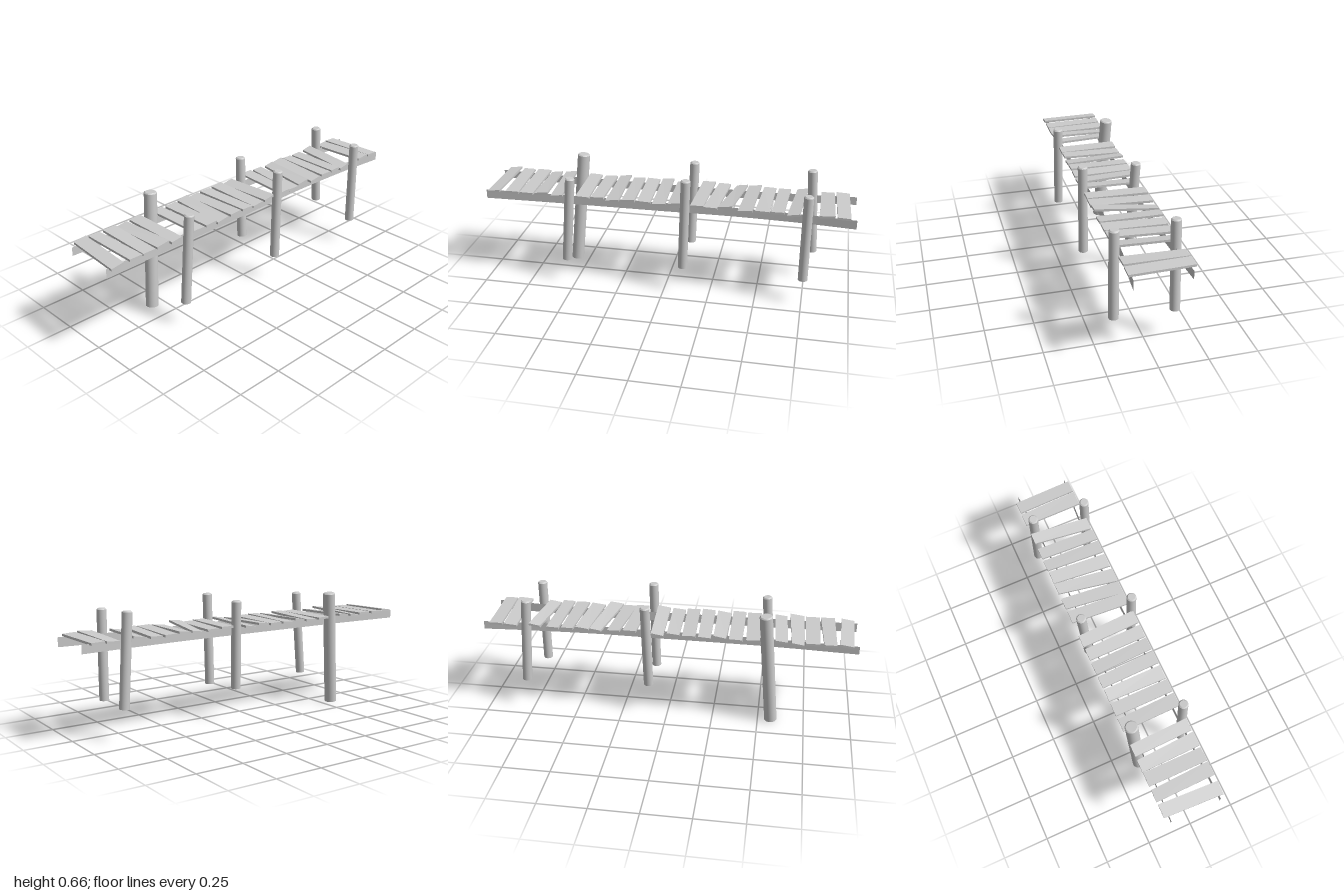
import * as THREE from 'three';

const mat = new THREE.MeshStandardMaterial({ color: 0xcccccc });
const flat = new THREE.MeshStandardMaterial({ color: 0xcccccc, flatShading: true });
const sheet = new THREE.MeshStandardMaterial({ color: 0xcccccc, side: THREE.DoubleSide });

// Round post with a slightly bevelled top, leaning from bottom to top
function makePost(name, bottom, top, r) {
  const a = new THREE.Vector3(...bottom), b = new THREE.Vector3(...top);
  const h = a.distanceTo(b), bevel = 0.006;
  const group = new THREE.Group();
  group.name = name;
  const side = new THREE.Mesh(new THREE.CylinderGeometry(r, r, h - bevel, 24, 1, true), mat);
  side.position.y = (h - bevel) / 2;
  const rim = new THREE.Mesh(new THREE.CylinderGeometry(r - bevel, r, bevel, 24), mat);
  rim.position.y = h - bevel / 2;
  const base = new THREE.Mesh(new THREE.CircleGeometry(r, 24).rotateX(Math.PI / 2), mat);
  side.name = 'postShaft';
  rim.name = 'postTop';
  base.name = 'postBase';
  group.add(side, rim, base);
  group.position.copy(a);
  group.quaternion.setFromUnitVectors(new THREE.Vector3(0, 1, 0), b.sub(a).normalize());
  return group;
}

// Thin rail that bows sideways along the walkway; points are [z, x]
function makeRail(name, points, yLow, yHigh) {
  const curve = new THREE.CatmullRomCurve3(points.map(([z, x]) => new THREE.Vector3(x, 0, z)));
  const n = 32;
  const geo = new THREE.PlaneGeometry(1, 1, n, 1);
  const pos = geo.attributes.position;
  for (let i = 0; i < pos.count; i++) {
    const p = curve.getPoint((i % (n + 1)) / n);
    pos.setXYZ(i, p.x, i <= n ? yHigh : yLow, p.z);
  }
  geo.computeVertexNormals();
  const mesh = new THREE.Mesh(geo, sheet);
  mesh.name = name;
  return mesh;
}

// Board given by its back and front edge at the left (-x) and right (+x) ends
function makePlank([l0, l1, r0, r1], i) {
  const geo = new THREE.BoxGeometry(1, 1, 1);
  const pos = geo.attributes.position;
  const roll = i === 20 ? -0.005 : 0.005 * Math.sin(i * 2.3);
  const pitch = 0.0035 * Math.cos(i * 1.7) - 0.002;
  const lift = i === 6 || i === 8 ? 0.005 : 0;
  for (let k = 0; k < pos.count; k++) {
    const right = pos.getX(k) > 0, front = pos.getZ(k) > 0;
    const y = 0.508 + lift + (right ? roll : -roll) + (front ? pitch : -pitch) + pos.getY(k) * 0.012;
    pos.setXYZ(k, right ? 0.146 : -0.176, y, right ? (front ? r1 : r0) : (front ? l1 : l0));
  }
  geo.computeVertexNormals();
  const mesh = new THREE.Mesh(geo, flat);
  mesh.name = 'plank' + (i + 1);
  return mesh;
}

export function createModel() {
  const model = new THREE.Group();
  model.name = 'pier';

  // Deck boards, from back to front
  const planks = [
    [-0.96, -0.89, -0.97, -0.90], [-0.88, -0.81, -0.89, -0.81],
    [-0.74, -0.68, -0.71, -0.645], [-0.645, -0.58, -0.63, -0.565],
    [-0.565, -0.50, -0.555, -0.48], [-0.485, -0.415, -0.465, -0.39],
    [-0.41, -0.35, -0.36, -0.285], [-0.315, -0.25, -0.285, -0.21],
    [-0.23, -0.16, -0.21, -0.14],
    [-0.08, -0.015, -0.09, -0.02], [0.005, 0.07, -0.005, 0.065],
    [0.085, 0.155, 0.075, 0.145], [0.17, 0.235, 0.16, 0.23],
    [0.25, 0.315, 0.245, 0.32], [0.33, 0.40, 0.33, 0.40],
    [0.42, 0.49, 0.41, 0.485],
    [0.57, 0.635, 0.56, 0.625], [0.655, 0.72, 0.64, 0.715],
    [0.725, 0.80, 0.725, 0.80], [0.82, 0.885, 0.805, 0.88],
    [0.90, 0.97, 0.915, 0.985],
  ];
  const deck = new THREE.Group();
  deck.name = 'deck';
  planks.forEach((p, i) => deck.add(makePlank(p, i)));
  model.add(deck);

  // Bowed support rails
  model.add(
    makeRail('rightRail', [[1, -0.15], [0.55, -0.13], [0, -0.125], [-0.4, -0.122], [-0.75, -0.135], [-1, -0.15]], 0.46, 0.505),
    makeRail('leftRail', [[1, 0.123], [0.55, 0.113], [0, 0.106], [-0.35, 0.099], [-0.72, 0.11], [-1, 0.132]], 0.45, 0.5),
  );

  // Leaning posts, three on each side
  model.add(
    makePost('frontRightPost', [-0.113, 0.002, 0.571], [-0.146, 0.643, 0.515], 0.034),
    makePost('middleRightPost', [-0.118, 0.17, -0.105], [-0.141, 0.645, -0.117], 0.026),
    makePost('backRightPost', [-0.146, 0.162, -0.785], [-0.145, 0.645, -0.755], 0.026),
    makePost('frontLeftPost', [0.146, 0.13, 0.55], [0.146, 0.617, 0.51], 0.0255),
    makePost('middleLeftPost', [0.146, 0.145, -0.102], [0.146, 0.655, -0.115], 0.0255),
    makePost('backLeftPost', [0.152, 0.14, -0.75], [0.152, 0.623, -0.75], 0.0255),
  );
  return model;
}
